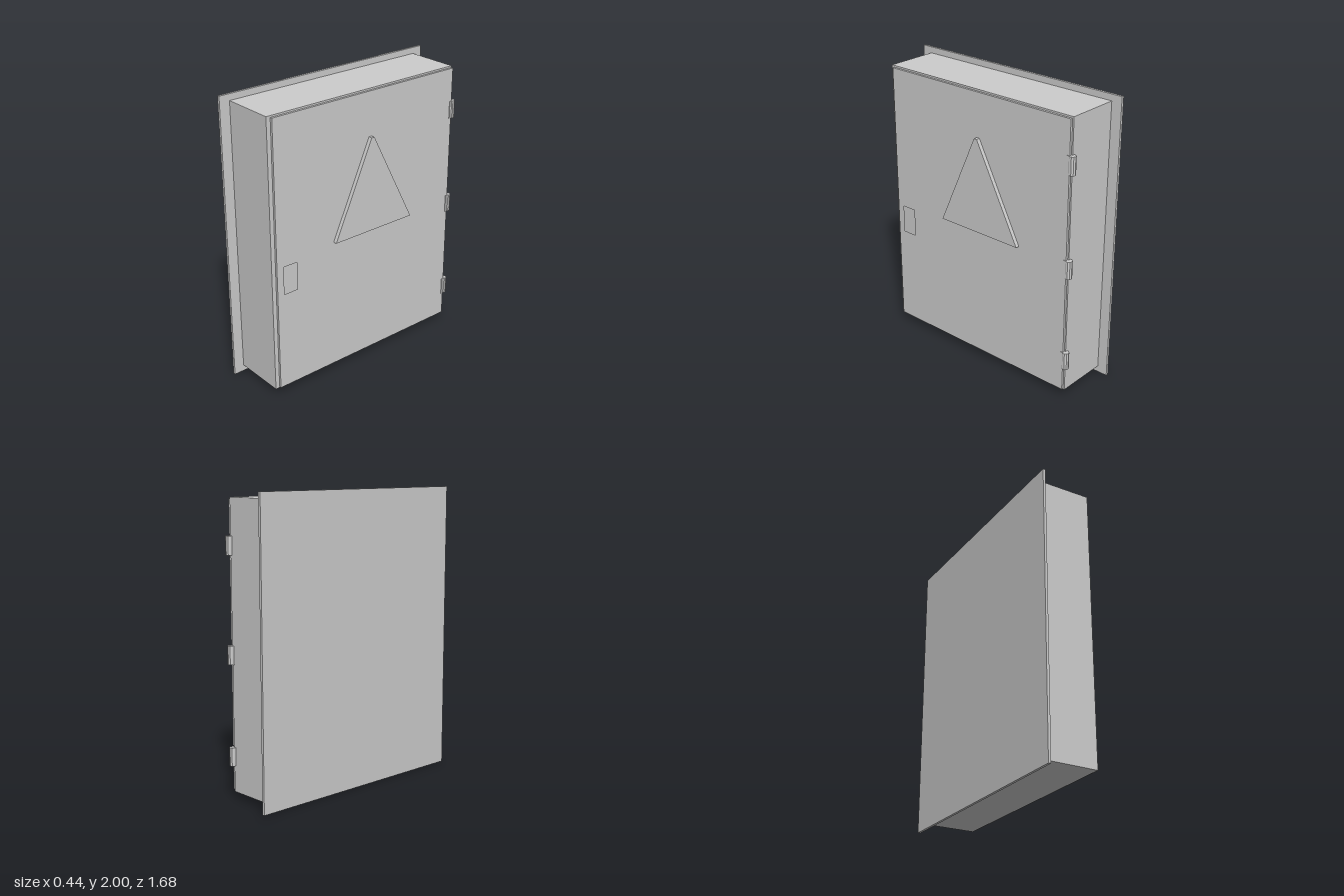
import * as THREE from 'three';

const material = new THREE.MeshStandardMaterial({ color: 0xcccccc, flatShading: true });

function add(parent, name, geometry) {
  const mesh = new THREE.Mesh(geometry, material);
  mesh.name = name;
  parent.add(mesh);
  return mesh;
}

// Box given by its min and max on each axis
function box(parent, name, [x0, x1], [y0, y1], [z0, z1]) {
  const mesh = add(parent, name, new THREE.BoxGeometry(x1 - x0, y1 - y0, z1 - z0));
  mesh.position.set((x0 + x1) / 2, (y0 + y1) / 2, (z0 + z1) / 2);
  return mesh;
}

// Plate facing +x, outlined by [z, y] points, from x0 to x1
function plate(parent, name, outline, x0, x1, hole) {
  const toPoints = (list) => list.map(([z, y]) => new THREE.Vector2(-z, y));
  const shape = new THREE.Shape(toPoints(outline));
  if (hole) shape.holes.push(new THREE.Path(toPoints(hole)));
  const geometry = new THREE.ExtrudeGeometry(shape, { depth: x1 - x0, bevelEnabled: false });
  geometry.rotateY(Math.PI / 2).translate(x0, 0, 0);
  return add(parent, name, geometry);
}

const rect = (z0, z1, y0, y1) => [[z0, y0], [z1, y0], [z1, y1], [z0, y1]];

export function createModel() {
  const model = new THREE.Group();
  model.name = 'wallCabinet';

  // Mounting flange and cabinet body
  box(model, 'backPanel', [-0.22, -0.202], [0, 2], [-0.84, 0.84]);
  box(model, 'cabinetBody', [-0.202, 0.171], [0.045, 1.957], [-0.767, 0.767]);

  // Door with a shallow rectangular latch recess
  plate(model, 'door', rect(-0.76, 0.74, 0.055, 1.947), 0.175, 0.191,
    rect(0.583, 0.688, 0.747, 0.943));
  box(model, 'latchRecessFloor', [0.169, 0.176], [0.743, 0.947], [0.579, 0.692]);

  // Raised triangular sign with a blunt tip
  plate(model, 'triangleSign',
    [[0.28, 0.985], [-0.377, 0.985], [-0.04, 1.642], [-0.017, 1.642]], 0.19, 0.218);

  // Three hinges: barrel and leaf
  for (const y of [0.283, 0.955, 1.655]) {
    const hinge = new THREE.Group();
    hinge.name = 'hinge';
    hinge.position.set(0.178, y, -0.772);
    model.add(hinge);
    add(hinge, 'hingeBarrel', new THREE.CylinderGeometry(0.024, 0.024, 0.123, 10));
    box(hinge, 'hingeLeaf', [-0.007, 0.018], [-0.0615, 0.0615], [0, 0.03]);
  }
  return model;
}
